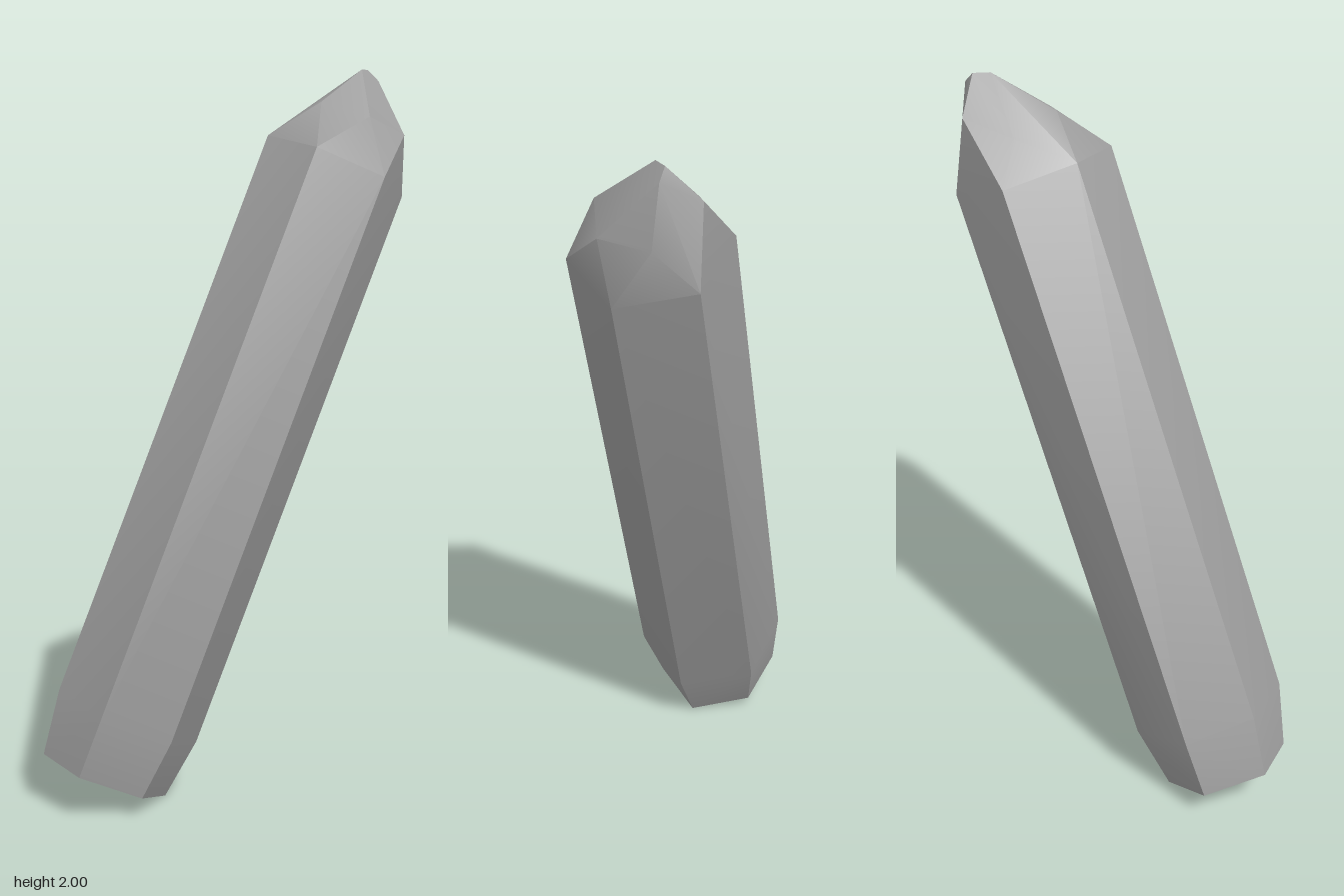
import * as THREE from 'three';
import { ConvexGeometry } from 'three/addons/geometries/ConvexGeometry.js';
import { toCreasedNormals } from 'three/addons/utils/BufferGeometryUtils.js';

const points = (list) => list.map((p) => new THREE.Vector3(...p));

export function createModel() {
  const stone = new THREE.MeshStandardMaterial({ color: 0xa0a0a0 });
  stone.name = 'grey crystal';

  // six-sided shoulder under the tip, swept along the leaning axis
  const shoulder = points([
    [0.08, 1.79, 0.235], [0.225, 1.71, 0.355], [0.415, 1.65, 0.285],
    [0.47, 1.69, 0.08], [0.315, 1.765, -0.05], [0.135, 1.82, 0.03],
  ]);
  const axis = new THREE.Vector3(-0.535, -1.5, -0.305);
  const lowerShoulder = shoulder.map((p) => p.clone().add(axis));

  // smaller hexagon closing the bevelled foot
  const foot = points([
    [-0.48, 0.12, -0.13], [-0.35, 0.05, -0.02], [-0.19, 0, -0.075],
    [-0.16, 0.03, -0.245], [-0.275, 0.09, -0.357], [-0.44, 0.14, -0.3],
  ]);

  // facet corners around the tip, then the short ridge at its summit
  const facets = points([
    [0.21, 1.91, 0.155], [0.25, 1.87, 0.287], [0.385, 1.82, 0.31],
    [0.478, 1.81, 0.2], [0.44, 1.91, 0.065], [0.3, 1.87, 0.04],
  ]);
  const summit = points([[0.385, 2, 0.167], [0.43, 2, 0.155], [0.455, 1.97, 0.175]]);

  const hull = new ConvexGeometry([...foot, ...lowerShoulder, ...shoulder, ...facets, ...summit]);
  const crystal = new THREE.Mesh(toCreasedNormals(hull, THREE.MathUtils.degToRad(32)), stone);
  crystal.name = 'crystal';

  const group = new THREE.Group();
  group.name = 'leaningCrystal';
  group.add(crystal);
  return group;
}
